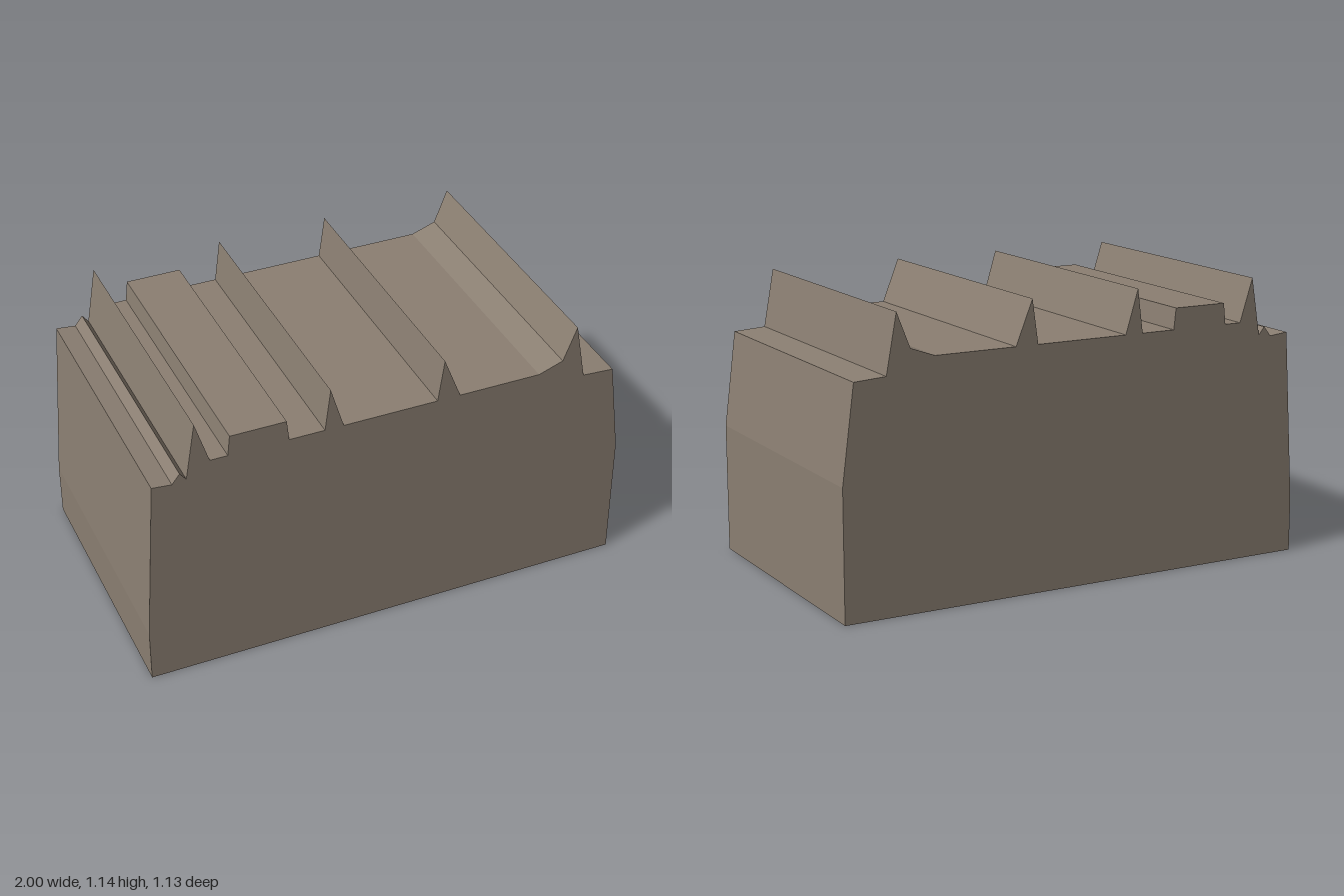
import * as THREE from 'three';

const DEPTH = 1.13;

// Outline of the block in x, y, counter-clockwise from the bottom
const profile = [
  [-1, 0], [1, 0], [1, 0.52], [0.95, 0.904], [0.82, 0.912], // base and right shoulder
  [0.777, 1.145], [0.722, 1.006], [0.622, 0.97],            // right ridge with sloped foot
  [0.285, 0.97], [0.215, 1.145], [0.19, 0.97],              // inner right ridge
  [-0.196, 0.97], [-0.249, 1.145], [-0.272, 0.97],          // inner left ridge
  [-0.415, 0.97], [-0.424, 1.055], [-0.648, 1.055], [-0.657, 0.97], // raised flat step
  [-0.727, 0.97], [-0.782, 1.145], [-0.82, 0.912],          // left ridge
  [-0.845, 0.944], [-0.876, 0.904], [-0.955, 0.912],        // small bump and left shoulder
  [-1, 0.22],
];

export function createModel() {
  const model = new THREE.Group();
  model.name = 'ridgedBlock';

  const stone = new THREE.MeshStandardMaterial({ color: 0x8b7f72 });
  stone.name = 'warm grey stone';

  // Solid block with ridges running front to back
  const shape = new THREE.Shape(profile.map(([x, y]) => new THREE.Vector2(x, y)));
  const geometry = new THREE.ExtrudeGeometry(shape, { depth: DEPTH, bevelEnabled: false });
  geometry.translate(0, 0, -DEPTH / 2);

  const block = new THREE.Mesh(geometry, stone);
  block.name = 'ridgedBody';
  model.add(block);
  return model;
}
